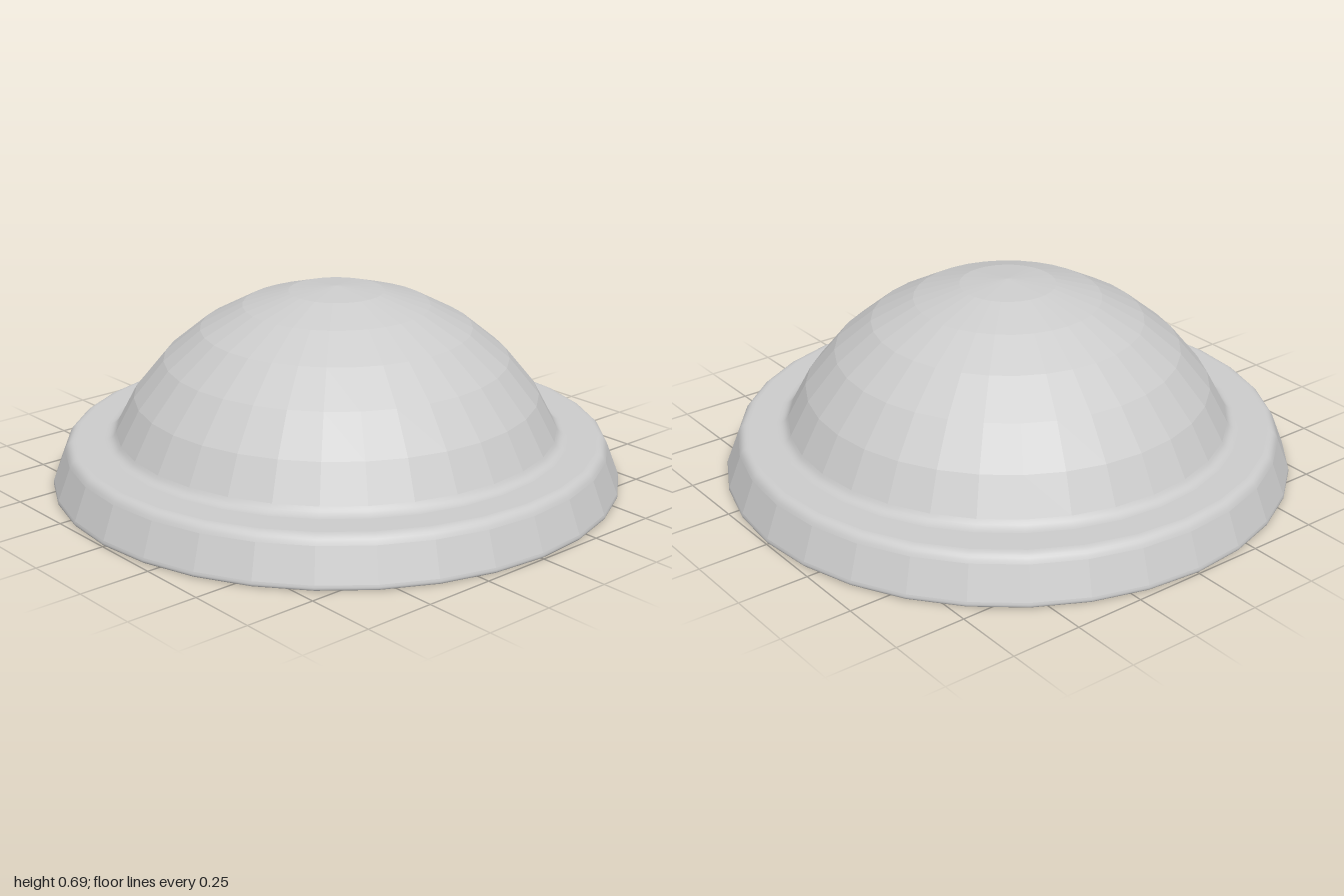
import * as THREE from 'three';

const SIDES = 32;

export function createModel() {
  const group = new THREE.Group();
  const flat = new THREE.MeshStandardMaterial({ color: 0xcccccc, flatShading: true });
  const smooth = new THREE.MeshStandardMaterial({ color: 0xcccccc });

  // Revolve a profile, listed from the bottom centre outward and up to the apex
  const revolve = (name, points, material) => {
    const mesh = new THREE.Mesh(new THREE.LatheGeometry(points, SIDES), material);
    mesh.name = name;
    group.add(mesh);
  };
  const p = (x, y) => new THREE.Vector2(x, y);
  // Rounded edge from a to b, tangent to the lines through the corner
  const fillet = (a, corner, b) => new THREE.QuadraticBezierCurve(a, corner, b).getPoints(6);

  // Dome is a cap of a larger sphere centred below the floor
  const R = 0.852, centreY = -0.162, step = Math.PI / 16;
  const domePoint = (k) => p(R * Math.sin(k * step), centreY + R * Math.cos(k * step));
  const dome = [5, 4, 3, 2, 1, 0].map(domePoint);
  const domeFoot = domePoint(5).lerp(domePoint(6), 0.84);

  // Key points of the base
  const bottomEdge = p(0.985, 0), wallLow = p(0.996, 0.02);
  const wallHigh = p(0.953, 0.132), topOuter = p(0.915, 0.162);
  const topInner = p(0.815, 0.162);

  // Base
  revolve('baseUnderside', [p(0, 0), bottomEdge], flat);
  revolve('baseLowerEdge', fillet(bottomEdge, p(1.003, 0), wallLow), smooth);
  revolve('baseWall', [wallLow, wallHigh], flat);
  revolve('baseUpperEdge', fillet(wallHigh, p(0.941, 0.162), topOuter), smooth);
  revolve('baseTop', [topOuter, topInner], flat);

  // Dome with its rounded foot
  revolve('domeFoot', fillet(topInner, p(0.788, 0.162), domeFoot), smooth);
  revolve('dome', [domeFoot, ...dome], flat);

  return group;
}
